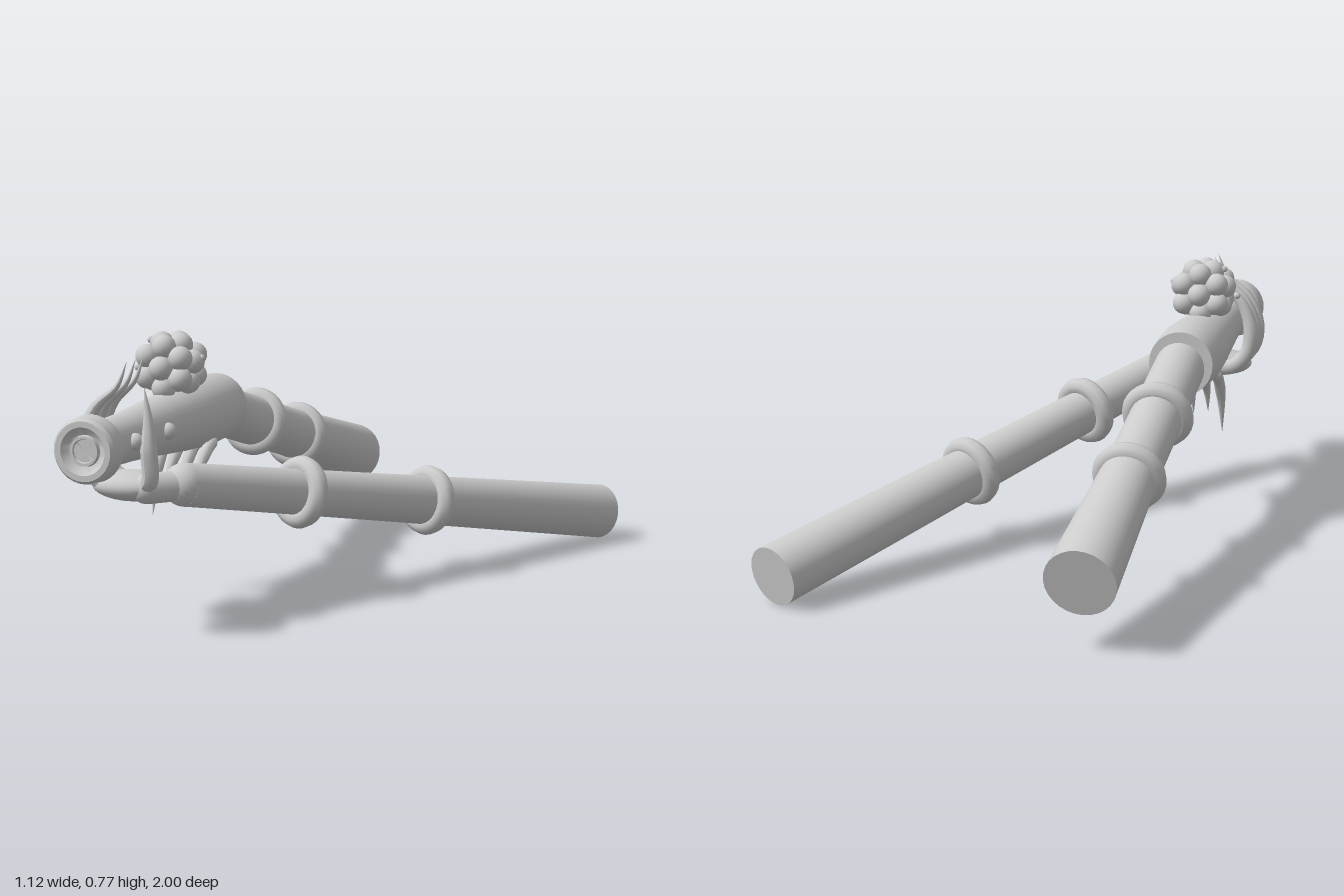
import * as THREE from 'three';
import { toCreasedNormals } from 'three/addons/utils/BufferGeometryUtils.js';

const metal = new THREE.MeshStandardMaterial({ color: 0xcccccc });
metal.name = 'grey metal';

const V = (x, y, z) => new THREE.Vector3(x, y, z);
const UP = V(0, 1, 0);

function add(parent, name, geometry, pos = V(0, 0, 0)) {
  const mesh = new THREE.Mesh(geometry, metal);
  mesh.name = name;
  mesh.position.copy(pos);
  parent.add(mesh);
  return mesh;
}

// Solid of revolution along y, from [radius, height] pairs
function lathe(profile, sides = 28) {
  const g = new THREE.LatheGeometry(profile.map(([r, h]) => new THREE.Vector2(r, h)), sides);
  return toCreasedNormals(g, 0.7);
}

// Curved tube whose radius swells quickly at the root and tapers to a point
function horn(points, radius) {
  const n = 24, sides = 10;
  const curve = new THREE.CatmullRomCurve3(points);
  const g = new THREE.TubeGeometry(curve, n, 1, sides, false);
  const p = g.attributes.position, v = V(0, 0, 0);
  for (let i = 0; i <= n; i++) {
    const u = i / n, c = curve.getPointAt(u);
    const r = radius * Math.min(1, Math.sqrt(u * 8)) * Math.min(1, Math.pow((1 - u) * 1.8, 0.9));
    for (let j = 0; j <= sides; j++) {
      const k = i * (sides + 1) + j;
      v.fromBufferAttribute(p, k).sub(c).multiplyScalar(r).add(c);
      p.setXYZ(k, v.x, v.y, v.z);
    }
  }
  g.computeVertexNormals();
  return g;
}

// Tapered pipe with two rings at the given fractions of its length
function pipe(name, start, end, profile, ringAt) {
  const group = new THREE.Group();
  group.name = name;
  const length = start.distanceTo(end);
  group.position.copy(start);
  group.quaternion.setFromUnitVectors(UP, end.clone().sub(start).normalize());
  add(group, name + 'Tube', lathe(profile.map(([r, t]) => [r, t * length])));
  for (const t of ringAt) {
    const ring = add(group, name + 'Ring', new THREE.TorusGeometry(0.075, 0.029, 10, 32), V(0, t * length, 0));
    ring.rotation.x = Math.PI / 2;
  }
  return group;
}

export function createModel() {
  const model = new THREE.Group();
  model.name = 'twinPipe';

  // Main body with flared mouth, pointing forward
  const body = add(model, 'body', lathe([
    [0, 0.13], [0.095, 0.13], [0.1, 0.2], [0.102, 0.28], [0.096, 0.38], [0.086, 0.5],
    [0.076, 0.62], [0.068, 0.75], [0.064, 0.88], [0.066, 0.92], [0.086, 0.93],
    [0.091, 0.945], [0.086, 0.965], [0.088, 0.99], [0.08, 1], [0.064, 1],
    [0.05, 0.985], [0.042, 0.982], [0.04, 0.994], [0.032, 0.994], [0.03, 0.988], [0, 0.988],
  ], 32), V(-0.433, 0.518, 0));
  body.rotation.x = Math.PI / 2;

  // Two long pipes
  model.add(pipe('rearPipe', V(-0.43, 0.524, 0.2), V(-0.418, 0.2, -0.97),
    [[0, 0], [0.074, 0], [0.076, 0.5], [0.097, 1], [0, 1]], [0.288, 0.567]));
  model.add(pipe('sidePipe', V(-0.29, 0.385, 0.68), V(0.477, 0.087, -0.818),
    [[0, 0], [0.06, 0], [0.069, 0.4], [0.085, 1], [0, 1]], [0.247, 0.545]));
  add(model, 'sidePipeTip', new THREE.SphereGeometry(0.06, 24, 16), V(-0.29, 0.385, 0.68));

  // Wrist and palm gripping the body from below
  const a = V(-0.3, 0.385, 0.7), b = V(-0.36, 0.385, 0.77);
  const wrist = add(model, 'wrist', new THREE.CapsuleGeometry(0.042, a.distanceTo(b), 8, 16),
    a.clone().add(b).multiplyScalar(0.5));
  wrist.quaternion.setFromUnitVectors(UP, b.clone().sub(a).normalize());
  const palm = add(model, 'palm', new THREE.SphereGeometry(1, 28, 16), V(-0.415, 0.387, 0.745));
  palm.scale.set(0.115, 0.042, 0.075);

  // Three pointed fingers round the right side, thumb round the left
  for (const z of [0.67, 0.72, 0.775]) {
    add(model, 'finger', horn([
      V(-0.4, 0.39, z), V(-0.48, 0.39, z), V(-0.53, 0.44, z), V(-0.538, 0.52, z),
      V(-0.505, 0.6, z), V(-0.44, 0.66, z), V(-0.41, 0.73, z),
    ], 0.024));
  }
  add(model, 'thumb', horn([
    V(-0.37, 0.385, 0.785), V(-0.337, 0.41, 0.8), V(-0.332, 0.5, 0.812),
    V(-0.335, 0.58, 0.808), V(-0.346, 0.665, 0.805),
  ], 0.024));

  // Claws curving down and forward beneath the body
  for (const [x, drop] of [[-0.5, 0.19], [-0.455, 0.13], [-0.41, 0.14], [-0.365, 0.12]]) {
    add(model, 'claw', horn([
      V(x, 0.45, 0.3), V(x, 0.425, 0.36), V(x, 0.43 - drop * 0.4, 0.41), V(x, 0.43 - drop, 0.44),
    ], 0.017));
  }

  // Round studs on the body
  for (const p of [V(-0.36, 0.52, 0.63), V(-0.368, 0.52, 0.82), V(-0.47, 0.572, 0.87)]) {
    add(model, 'stud', new THREE.SphereGeometry(0.024, 16, 12), p);
  }

  // Cluster of balls: rings of balls about the long axis, with small beads outside
  const cluster = new THREE.Group();
  cluster.name = 'ballCluster';
  cluster.position.set(-0.433, 0.675, 0.445);
  model.add(cluster);
  add(cluster, 'clusterCore', new THREE.SphereGeometry(0.07, 24, 16));
  const ball = new THREE.SphereGeometry(0.034, 18, 12);
  const bead = new THREE.SphereGeometry(0.01, 10, 8);
  for (const [count, r, z, turn] of [[7, 0.067, 0, 0.2], [6, 0.058, 0.05, 0.5], [6, 0.058, -0.05, 0.5], [1, 0, 0.07, 0], [1, 0, -0.07, 0]]) {
    for (let i = 0; i < count; i++) {
      const t = turn + (i / count) * Math.PI * 2;
      add(cluster, 'ball', ball, V(Math.cos(t) * r, Math.sin(t) * r, z));
    }
  }
  for (const [x, y] of [[-0.062, 0.07], [0.028, 0.085], [0.093, 0.025], [-0.103, -0.01]]) {
    add(cluster, 'bead', bead, V(x, y, 0));
  }
  return model;
}
